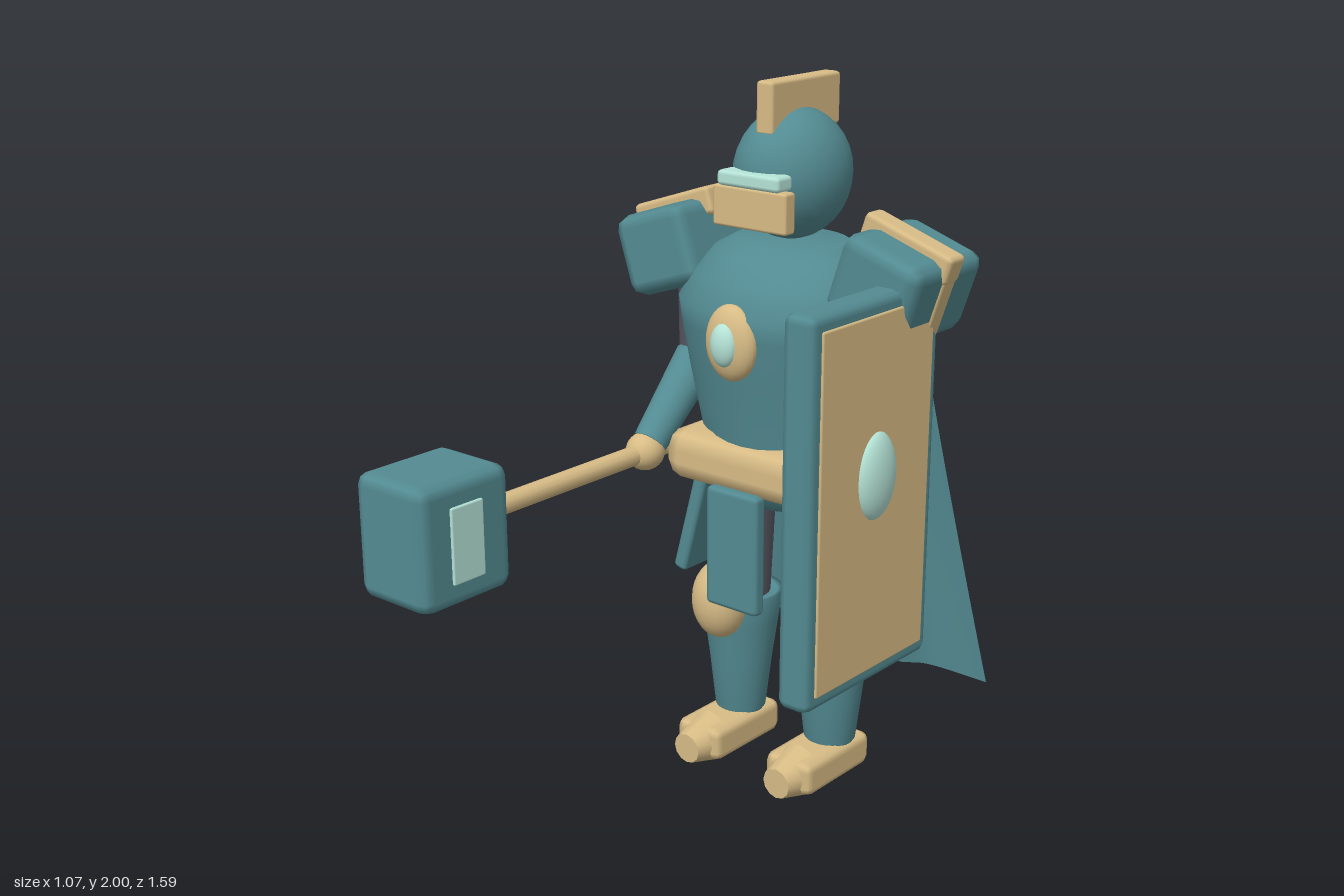
import * as THREE from 'three';
import { RoundedBoxGeometry } from 'three/addons/geometries/RoundedBoxGeometry.js';
import { ParametricGeometry } from 'three/addons/geometries/ParametricGeometry.js';

const ZC = -0.39; // body axis

function material(name, color, side = THREE.FrontSide) {
  const m = new THREE.MeshStandardMaterial({ color, side });
  m.name = name;
  return m;
}

export function createModel() {
  const teal = material('teal armour', 0x538b92);
  const tealCloth = material('teal cloth', 0x538b92, THREE.DoubleSide);
  const gold = material('gold trim', 0xd8bc86);
  const dark = material('dark undersuit', 0x595863);
  const mint = material('mint glow', 0xb6e4d7);
  const root = new THREE.Group();
  root.name = 'armouredKnight';

  function add(name, geo, mat, pos = [0, 0, 0], parent = root) {
    const mesh = new THREE.Mesh(geo, mat);
    mesh.name = name;
    mesh.position.set(...pos);
    parent.add(mesh);
    return mesh;
  }
  // Box with a single chamfer along its edges
  const block = (name, mat, size, pos, bevel = 0.02, parent = root) =>
    add(name, new RoundedBoxGeometry(...size, 1, bevel), mat, pos, parent);
  const ball = (name, mat, radii, pos, parent = root) => {
    const mesh = add(name, new THREE.SphereGeometry(1, 24, 16), mat, pos, parent);
    mesh.scale.set(...radii);
    return mesh;
  };
  // Tapered cylinder running from a to b
  function limb(name, mat, a, b, ra, rb, parent = root, sides = 20) {
    const from = new THREE.Vector3(...a), to = new THREE.Vector3(...b);
    const dir = to.clone().sub(from);
    const mid = from.clone().add(to).multiplyScalar(0.5);
    const geo = new THREE.CylinderGeometry(rb, ra, dir.length(), sides);
    const mesh = add(name, geo, mat, mid.toArray(), parent);
    mesh.quaternion.setFromUnitVectors(new THREE.Vector3(0, 1, 0), dir.normalize());
    return mesh;
  }
  const lathe = (points) =>
    new THREE.LatheGeometry(points.map(([r, y]) => new THREE.Vector2(r, y)), 32);

  // Helmet
  ball('helmet', teal, [0.153, 0.177, 0.176], [0, 1.748, ZC]);
  block('crest', gold, [0.056, 0.14, 0.3], [0, 1.93, -0.41], 0.01);
  block('visor', mint, [0.206, 0.042, 0.066], [0, 1.75, -0.224], 0.012);
  block('facePlate', gold, [0.244, 0.11, 0.044], [0, 1.675, -0.222], 0.008);

  // Torso, belt and chest gem
  const torso = add('torso', lathe([
    [0, 0.86], [0.25, 0.86], [0.25, 0.95], [0.26, 1.04], [0.295, 1.2],
    [0.322, 1.34], [0.33, 1.4], [0.285, 1.47], [0.225, 1.54], [0.165, 1.572], [0, 1.576],
  ]), teal, [0, 0, ZC]);
  torso.scale.z = 0.82;
  block('belt', gold, [0.53, 0.155, 0.49], [0, 0.963, ZC], 0.06);
  ball('gemSetting', gold, [0.082, 0.105, 0.045], [0, 1.33, -0.135]);
  ball('chestGem', mint, [0.042, 0.06, 0.03], [0, 1.33, -0.103]);
  block('frontTasset', teal, [0.18, 0.35, 0.045], [0, 0.735, -0.155], 0.015);

  // Arms, pauldrons, legs and side tassets
  for (const s of [1, -1]) {
    const side = new THREE.Group();
    side.name = s > 0 ? 'leftSide' : 'rightSide';
    root.add(side);

    const pauldron = new THREE.Group();
    pauldron.name = 'pauldron';
    pauldron.position.set(s * 0.365, 1.505, ZC);
    pauldron.rotation.z = -s * 0.32;
    side.add(pauldron);
    block('pauldronPlate', teal, [0.255, 0.23, 0.32], [0, 0, 0], 0.04, pauldron);
    block('pauldronTrim', gold, [0.285, 0.08, 0.072], [-s * 0.006, 0.1, 0.008], 0.014, pauldron);
    block('pauldronSideTrim', gold, [0.03, 0.2, 0.06], [s * 0.118, 0.005, 0.008], 0.01, pauldron);

    limb('upperArm', dark, [s * 0.315, 1.45, ZC], [s * 0.33, 1.16, -0.4], 0.07, 0.06, side);
    ball('elbow', gold, [0.062, 0.065, 0.062], [s * 0.33, 1.16, -0.415], side);
    limb('forearm', teal, [s * 0.33, 1.175, -0.385], [s * 0.333, 0.97, -0.18], 0.066, 0.05, side);
    ball('hand', gold, [0.055, 0.055, 0.058], [s * 0.333, 0.95, -0.16], side);

    limb('thigh', dark, [s * 0.168, 0.92, ZC], [s * 0.165, 0.45, ZC], 0.105, 0.083, side);
    ball('kneeGuard', gold, [0.085, 0.117, 0.08], [s * 0.165, 0.5, -0.292], side);
    add('greave', lathe([
      [0, 0.11], [0.06, 0.11], [0.076, 0.135], [0.095, 0.3], [0.112, 0.42],
      [0.125, 0.51], [0.108, 0.505], [0, 0.49],
    ]), teal, [s * 0.165, 0, ZC], side).scale.z = 0.95;
    block('foot', gold, [0.16, 0.1, 0.3], [s * 0.165, 0.082, -0.335], 0.025, side);
    limb('toeCap', gold, [s * 0.165, 0.077, -0.25], [s * 0.165, 0.075, -0.14],
      0.077, 0.045, side, 12);

    const tasset = block('sideTasset', teal, [0.045, 0.35, 0.25],
      [s * 0.257, 0.735, ZC], 0.012, side);
    tasset.rotation.z = s * 0.26;
  }

  // Hammer
  const hammer = new THREE.Group();
  hammer.name = 'hammer';
  hammer.position.set(-0.334, 0.947, 0);
  root.add(hammer);
  limb('handle', gold, [0, 0, -0.56], [0, 0, 0.55], 0.028, 0.028, hammer, 12);
  block('hammerHead', teal, [0.25, 0.337, 0.304], [0, 0, 0.638], 0.035, hammer);
  block('hammerInlay', mint, [0.264, 0.205, 0.108], [0, 0, 0.643], 0.005, hammer);

  // Shield
  const shield = new THREE.Group();
  shield.name = 'shield';
  shield.position.set(0.418, 1.005, -0.14);
  root.add(shield);
  block('shieldBoard', teal, [0.097, 1.045, 0.55], [0, 0, 0], 0.025, shield);
  block('shieldPanel', gold, [0.02, 0.965, 0.478], [0.044, 0, 0], 0.006, shield);
  ball('shieldBoss', mint, [0.04, 0.12, 0.08], [0.047, 0.058, 0], shield);

  // Cape, flaring from the shoulders to a folded hem
  const hem = new THREE.CatmullRomCurve3([
    [-0.435, 0.232, -0.797], [-0.285, 0.272, -0.77], [-0.15, 0.24, -0.692],
    [0, 0.265, -0.695], [0.155, 0.24, -0.735], [0.28, 0.272, -0.72], [0.435, 0.232, -0.797],
  ].map((p) => new THREE.Vector3(...p)));
  const cape = new ParametricGeometry((u, t, out) => {
    const across = 2 * u - 1;
    hem.getPoint(u, out);
    out.set(
      THREE.MathUtils.lerp(across * 0.27, out.x, t ** 1.2),
      THREE.MathUtils.lerp(1.53, out.y, t),
      THREE.MathUtils.lerp(-0.545 - 0.02 * across * across, out.z, t),
    );
  }, 30, 16);
  add('cape', cape, tealCloth);

  return root;
}
